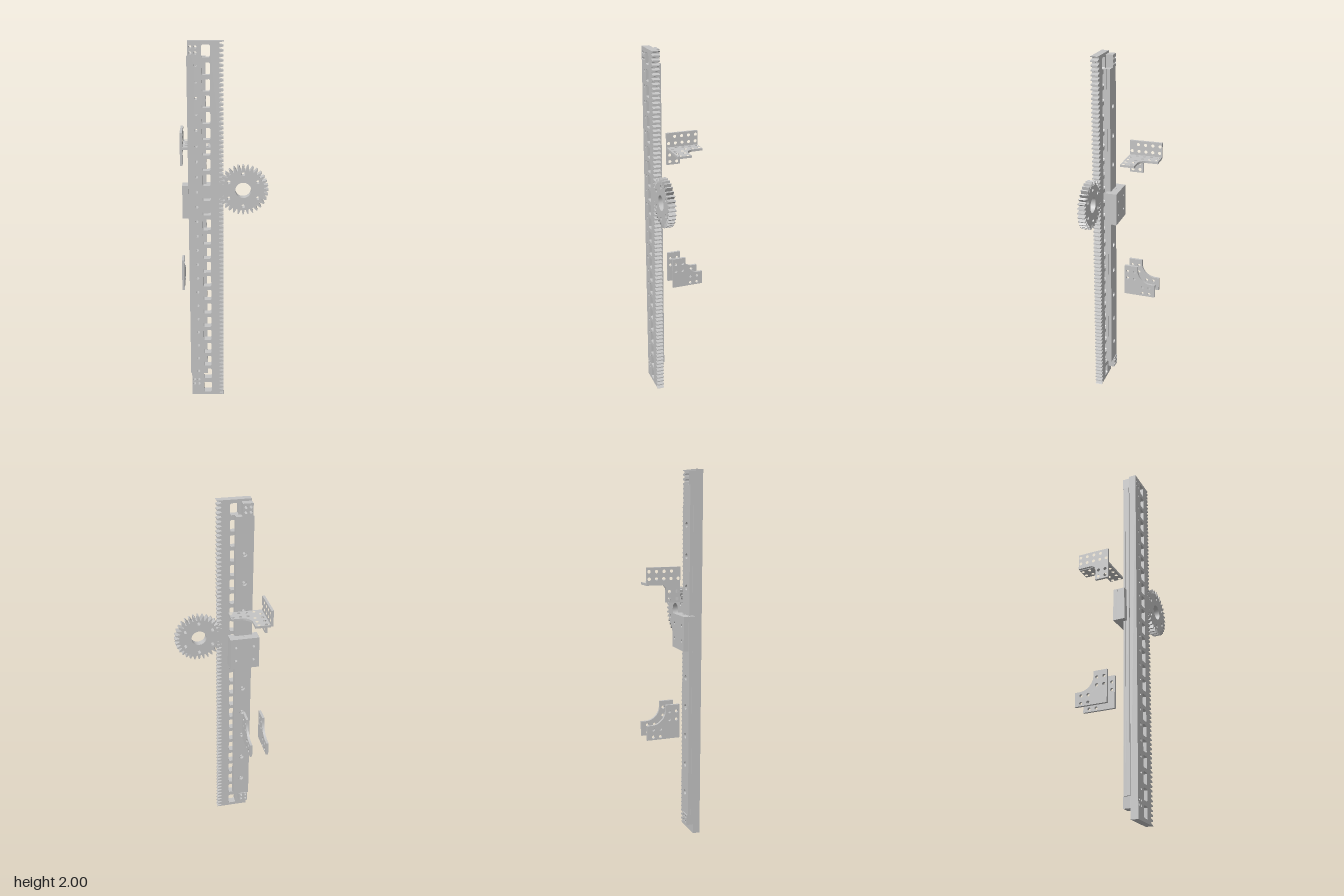
import * as THREE from 'three';
import { toCreasedNormals } from 'three/addons/utils/BufferGeometryUtils.js';

const PITCH = 0.0822; // spacing of windows and screw holes

export function createModel() {
  const model = new THREE.Group();
  const metal = new THREE.MeshStandardMaterial({ color: 0xc4c4c4 });
  metal.name = 'light grey metal';

  const circle = (x, y, r) => new THREE.Path().absarc(x, y, r, 0, Math.PI * 2, true);

  function roundedWindow(x0, x1, yc, h) {
    const c = 0.005, y0 = yc - h / 2, y1 = yc + h / 2;
    return new THREE.Path([
      [x0 + c, y0], [x0, y0 + c], [x0, y1 - c], [x0 + c, y1],
      [x1 - c, y1], [x1, y1 - c], [x1, y0 + c], [x1 - c, y0],
    ].map(([x, y]) => new THREE.Vector2(x, y)));
  }

  const polygon = (pts) => new THREE.Shape(pts.map(([x, y]) => new THREE.Vector2(x, y)));
  const rect = (x0, x1, y0, y1) => polygon([[x0, y0], [x1, y0], [x1, y1], [x0, y1]]);

  function extrude(shape, holes, depth) {
    shape.holes.push(...holes);
    const g = new THREE.ExtrudeGeometry(shape, { depth, bevelEnabled: false, curveSegments: 10 });
    return toCreasedNormals(g, 0.7);
  }

  function add(parent, name, geometry, x = 0, y = 0, z = 0) {
    const mesh = new THREE.Mesh(geometry, metal);
    mesh.name = name;
    mesh.position.set(x, y, z);
    parent.add(mesh);
    return mesh;
  }

  function addGroup(name) {
    const g = new THREE.Group();
    g.name = name;
    model.add(g);
    return g;
  }

  // Toothed rack with windows and screw holes
  const teeth = 82, step = 2 / teeth;
  const rackPts = [[-0.182, 0], [0, 0]];
  for (let i = 0; i < teeth; i++) {
    const y = i * step;
    rackPts.push([-0.002, y + step * 0.14], [-0.026, y + step * 0.38],
      [-0.026, y + step * 0.62], [-0.002, y + step * 0.86]);
  }
  rackPts.push([0, 2], [-0.182, 2]);
  const rackHoles = [roundedWindow(-0.114, -0.07, 0.05, 0.062), roundedWindow(-0.114, -0.07, 1.95, 0.062)];
  for (let i = 0; i < 22; i++) {
    rackHoles.push(roundedWindow(-0.114, -0.07, 1 + (i - 10.5) * PITCH, 0.062));
    rackHoles.push(circle(-0.143, 1.0175 + (i - 10.5) * PITCH, 0.008));
  }
  for (const y of [0.073, 0.1, 1.94, 1.97]) {
    for (const x of [-0.169, -0.143]) rackHoles.push(circle(x, y, 0.008));
  }
  add(model, 'rack', extrude(polygon(rackPts), rackHoles, 0.04), 0, 0, 0.124);

  // Spur gear, one tooth centred on a rack gap
  const gearTeeth = 32, gearPts = [];
  const toothAngle = Math.PI * 2 / gearTeeth;
  const gearY = 50.5 * step;
  for (let i = 0; i < gearTeeth; i++) {
    const a = Math.PI + i * toothAngle;
    for (const [f, r] of [[-0.36, 0.109], [-0.25, 0.12], [-0.12, 0.133], [0.12, 0.133], [0.25, 0.12], [0.36, 0.109]]) {
      gearPts.push([Math.cos(a + f * toothAngle) * r, Math.sin(a + f * toothAngle) * r]);
    }
  }
  const gearHoles = [circle(0, 0, 0.042)];
  for (let i = 0; i < 6; i++) {
    const a = Math.PI / 2 + i * Math.PI / 3;
    gearHoles.push(circle(Math.cos(a) * 0.088, Math.sin(a) * 0.088, 0.01));
  }
  add(model, 'gear', extrude(polygon(gearPts), gearHoles, 0.04), 0.101, gearY, 0.124);

  // Linear rail: cap, waist and base layers with screw holes
  const rail = addGroup('rail');
  for (const [name, inset, z, depth, r] of [
    ['railCap', 0, 0.09, 0.01, 0.015], ['railWaist', 0.003, 0.1, 0.008, 0.015], ['railBase', 0, 0.108, 0.016, 0.009]]) {
    const holes = [];
    for (let i = 0; i < 10; i++) holes.push(circle(-0.1415, 0.9764 + (i - 4.5) * PITCH * 2, r));
    add(rail, name, extrude(rect(-0.189 + inset, -0.093 - inset, 0.115, 1.92), holes, depth), 0, 0, z);
  }

  // End stops at both ends of the rail
  for (const [name, y0, y1] of [['lowerStop', 0.055, 0.114], ['upperStop', 1.921, 1.988]]) {
    const holes = [], yc = y0 < 1 ? 0.0865 : 1.955;
    for (const x of [-0.169, -0.143]) {
      for (const dy of [-0.0135, 0.0135]) holes.push(circle(x, yc + dy, 0.008));
    }
    add(model, name, extrude(rect(-0.182, -0.128, y0, y1), holes, 0.039), 0, 0, 0.085);
  }

  // Sliding carriage: drilled back, grooved middle, side skirts around the rail
  const carriage = addGroup('carriage');
  const mounts = [];
  for (const sx of [-1, 1]) {
    for (const sy of [-1, 1]) mounts.push(circle(-0.14 + sx * 0.05, 1.1495 + sy * 0.041, 0.008));
  }
  for (const [name, x0, x1, z, depth, holes] of [
    ['carriageBack', -0.222, -0.058, 0.045, 0.022, mounts],
    ['carriageMiddle', -0.219, -0.061, 0.067, 0.007, []],
    ['carriageFront', -0.222, -0.058, 0.074, 0.014, []],
    ['carriageSkirt', -0.222, -0.19, 0.088, 0.022, []],
    ['carriageSkirt', -0.092, -0.058, 0.088, 0.022, []]]) {
    add(carriage, name, extrude(rect(x0, x1, 1.057, 1.242), holes, depth), 0, 0, z);
  }
  add(carriage, 'greasePort', new THREE.CylinderGeometry(0.006, 0.006, 0.19, 12), -0.141, 1.1495, 0.076);

  // L-shaped plate outline: corner at (u0, v0), arms reaching u1 and v1, filleted inside corner
  function lShape(u0, u1, v0, v1, uIn, vIn, r) {
    const s = new THREE.Shape();
    const su = Math.sign(u1 - u0), sv = Math.sign(v1 - v0);
    s.moveTo(u0, v0);
    s.lineTo(u1, v0);
    s.lineTo(u1, vIn);
    s.lineTo(uIn + su * r, vIn);
    for (let i = 1; i <= 10; i++) {
      const a = i / 10 * Math.PI / 2;
      s.lineTo(uIn + su * r * (1 - Math.sin(a)), vIn + sv * r * (1 - Math.cos(a)));
    }
    s.lineTo(uIn, v1);
    s.lineTo(u0, v1);
    return s;
  }
  const drill = (pts) => pts.map(([u, v]) => circle(u, v, 0.009));

  // Upright plates use (-z, y) coordinates
  const upright = (parent, name, shape, holes, x) =>
    add(parent, name, extrude(shape, drill(holes), 0.0135).rotateY(Math.PI / 2), x, 0, 0);

  // Upper bracket: upright plate and level shelf
  const upper = addGroup('upperBracket');
  const upHoles = [[0, 1.342], [0.041, 1.342], [0, 1.381], [0.041, 1.381]];
  for (let i = 0; i < 4; i++) upHoles.push([0.03 + i * 0.041, 1.486]);
  for (let i = 0; i < 5; i++) upHoles.push([-0.006 + i * 0.0395, 1.448]);
  upright(upper, 'uprightPlate', lShape(-0.018, 0.165, 1.507, 1.324, 0.06, 1.417, 0.03), upHoles, -0.2355);
  const shelfHoles = [[-0.203, -0.153], [-0.162, -0.153], [-0.203, -0.112], [-0.162, -0.112],
    [-0.203, -0.071], [-0.162, -0.071], [-0.203, -0.03], [-0.132, -0.042], [-0.091, -0.042],
    [-0.05, -0.042], [-0.173, 0], [-0.132, 0], [-0.091, 0], [-0.05, 0]];
  const shelf = extrude(lShape(-0.222, -0.039, 0.018, -0.165, -0.141, -0.062, 0.05), drill(shelfHoles), 0.0125);
  add(upper, 'shelfPlate', shelf.rotateX(Math.PI / 2), 0, 1.426, 0);

  // Lower pair of curved upright plates
  const lower = addGroup('lowerBrackets');
  const lowHoles = [[0, 0.697], [0.041, 0.697], [0, 0.741], [0.041, 0.741],
    [0.09, 0.609], [0.131, 0.609], [0.09, 0.65], [0.131, 0.65]];
  for (const x of [-0.2355, -0.1415]) {
    upright(lower, 'curvedPlate', lShape(-0.018, 0.165, 0.593, 0.777, 0.06, 0.672, 0.08), lowHoles, x);
  }
  return model;
}
